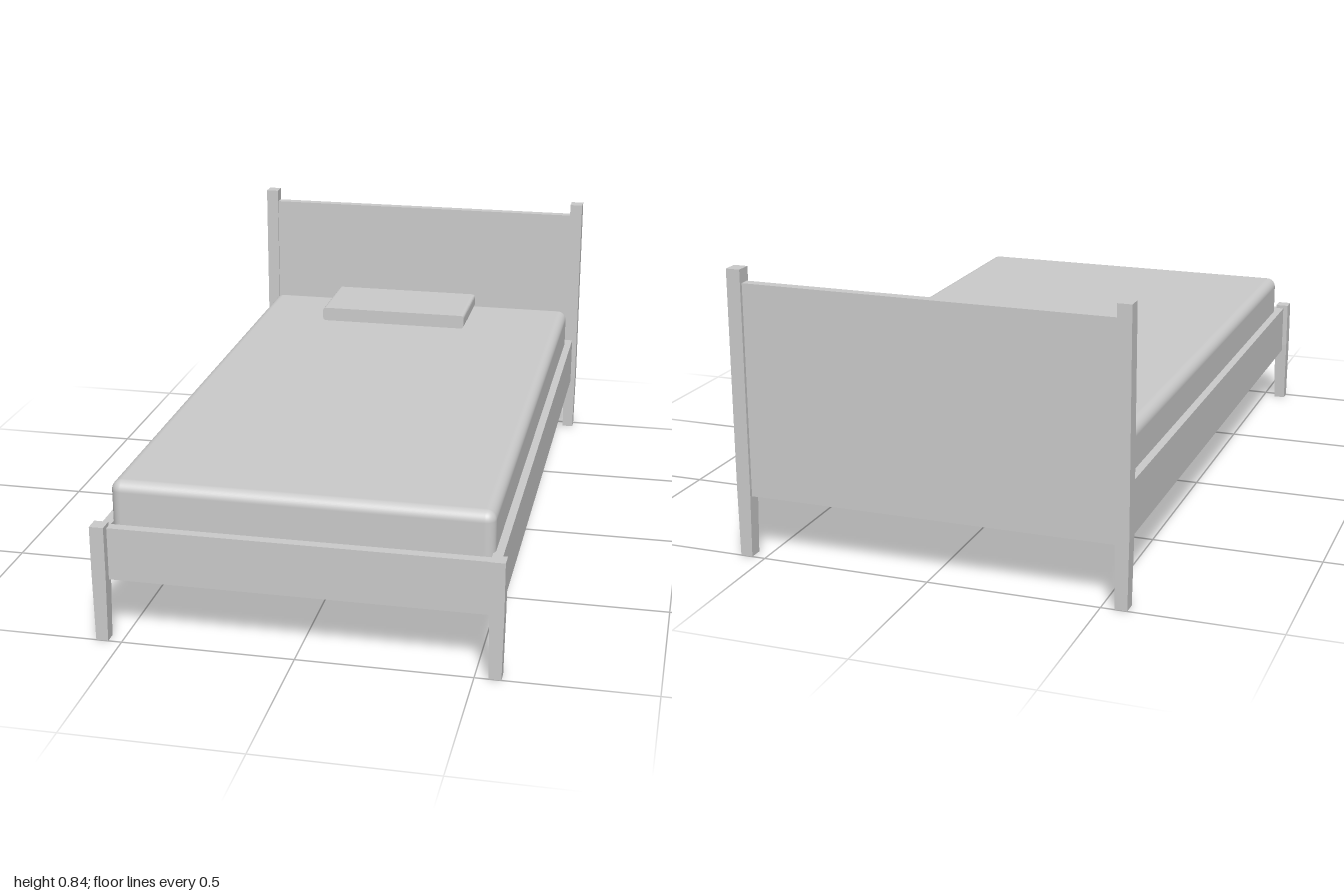
import * as THREE from 'three';
import { RoundedBoxGeometry } from 'three/addons/geometries/RoundedBoxGeometry.js';

const material = new THREE.MeshStandardMaterial({ color: 0xcccccc });

export function createModel() {
  const bed = new THREE.Group();
  bed.name = 'bed';

  const add = (name, geometry, x = 0, y = 0, z = 0) => {
    const mesh = new THREE.Mesh(geometry, material);
    mesh.name = name;
    mesh.position.set(x, y, z);
    bed.add(mesh);
    return mesh;
  };

  // Box given by its extents on each axis
  const block = (name, [x0, x1], [y0, y1], [z0, z1]) =>
    add(name, new THREE.BoxGeometry(x1 - x0, y1 - y0, z1 - z0),
      (x0 + x1) / 2, (y0 + y1) / 2, (z0 + z1) / 2);

  // Square post, straight above the rail and tapering to the foot
  const post = (name, side, z, height, depth, footDepth) => {
    const geometry = new THREE.BoxGeometry(0.041, height, depth, 1, 2, 1);
    geometry.translate(0, height / 2, 0);
    const p = geometry.attributes.position;
    const end = Math.sign(z);
    for (let i = 0; i < p.count; i++) {
      const y = p.getY(i);
      if (y < 0.01) {
        p.setX(i, p.getX(i) * 0.86);
        // Only the inner face slopes along the bed
        if (p.getZ(i) * end < 0) p.setZ(i, end * (depth / 2 - footDepth));
      } else if (y < height - 0.01) {
        p.setY(i, 0.2);
      }
    }
    const flat = geometry.toNonIndexed();
    flat.computeVertexNormals();
    add(name, flat, side * 0.557, 0, z);
  };

  // Posts and side rails, mirrored left and right
  for (const side of [1, -1]) {
    const label = side > 0 ? 'left' : 'right';
    post(label + 'FrontLeg', side, 0.978, 0.347, 0.044, 0.036);
    post(label + 'HeadPost', side, -0.977, 0.84, 0.046, 0.041);
    const rail = [0.533, 0.562].map((v) => v * side).sort((a, b) => a - b);
    block(label + 'SideRail', rail, [0.18, 0.336], [-0.96, 0.96]);
  }

  // Headboard, footboard and the closed base between them
  block('headboard', [-0.545, 0.545], [0.18, 0.8], [-0.99, -0.96]);
  block('footboard', [-0.545, 0.545], [0.18, 0.336], [0.945, 0.975]);
  block('base', [-0.54, 0.54], [0.18, 0.32], [-0.965, 0.95]);

  // Mattress, its lower edge sunk into the frame
  add('mattress', new RoundedBoxGeometry(1.078, 0.166, 1.87, 5, 0.03), 0, 0.373, -0.004);

  // Flat pillow, rounded at its two short ends
  const w = 0.252, h = 0.046, r = 0.012;
  const outline = new THREE.Shape();
  outline.moveTo(-w + r, 0);
  outline.lineTo(w - r, 0);
  outline.quadraticCurveTo(w, 0, w, r);
  outline.lineTo(w, h - r);
  outline.quadraticCurveTo(w, h, w - r, h);
  outline.lineTo(-w + r, h);
  outline.quadraticCurveTo(-w, h, -w, h - r);
  outline.lineTo(-w, r);
  outline.quadraticCurveTo(-w, 0, -w + r, 0);
  const pillow = new THREE.ExtrudeGeometry(outline, { depth: 0.27, bevelEnabled: false, curveSegments: 5 });
  add('pillow', pillow, -0.044, 0.456, -0.91);

  return bed;
}
